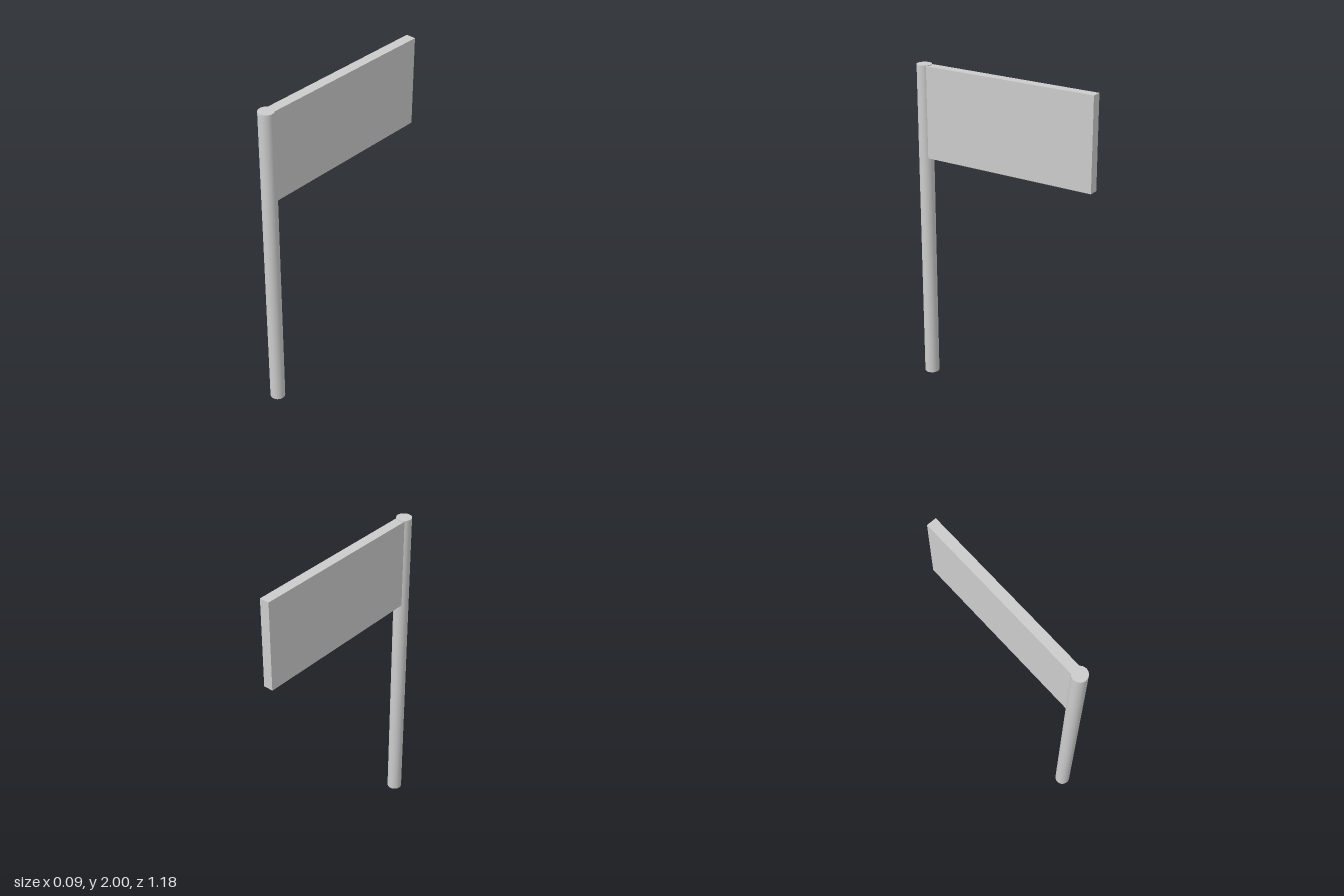
import * as THREE from 'three';

export function createModel() {
  const group = new THREE.Group();
  const material = new THREE.MeshStandardMaterial({ color: 0xcccccc });

  const add = (name, geometry, x, y, z) => {
    const mesh = new THREE.Mesh(geometry, material);
    mesh.name = name;
    mesh.position.set(x, y, z);
    group.add(mesh);
  };

  // Round upright pole at the front
  const radius = 0.045;
  const poleZ = 0.588 - radius;
  add('pole', new THREE.CylinderGeometry(radius, radius, 2, 32), 0, 1, poleZ);

  // Flat panel reaching back from the top of the pole
  const back = -0.588, front = 0.512, bottom = 1.44, top = 1.996;
  add('flagPanel', new THREE.BoxGeometry(0.06, top - bottom, front - back),
    0, (top + bottom) / 2, (front + back) / 2);

  return group;
}
